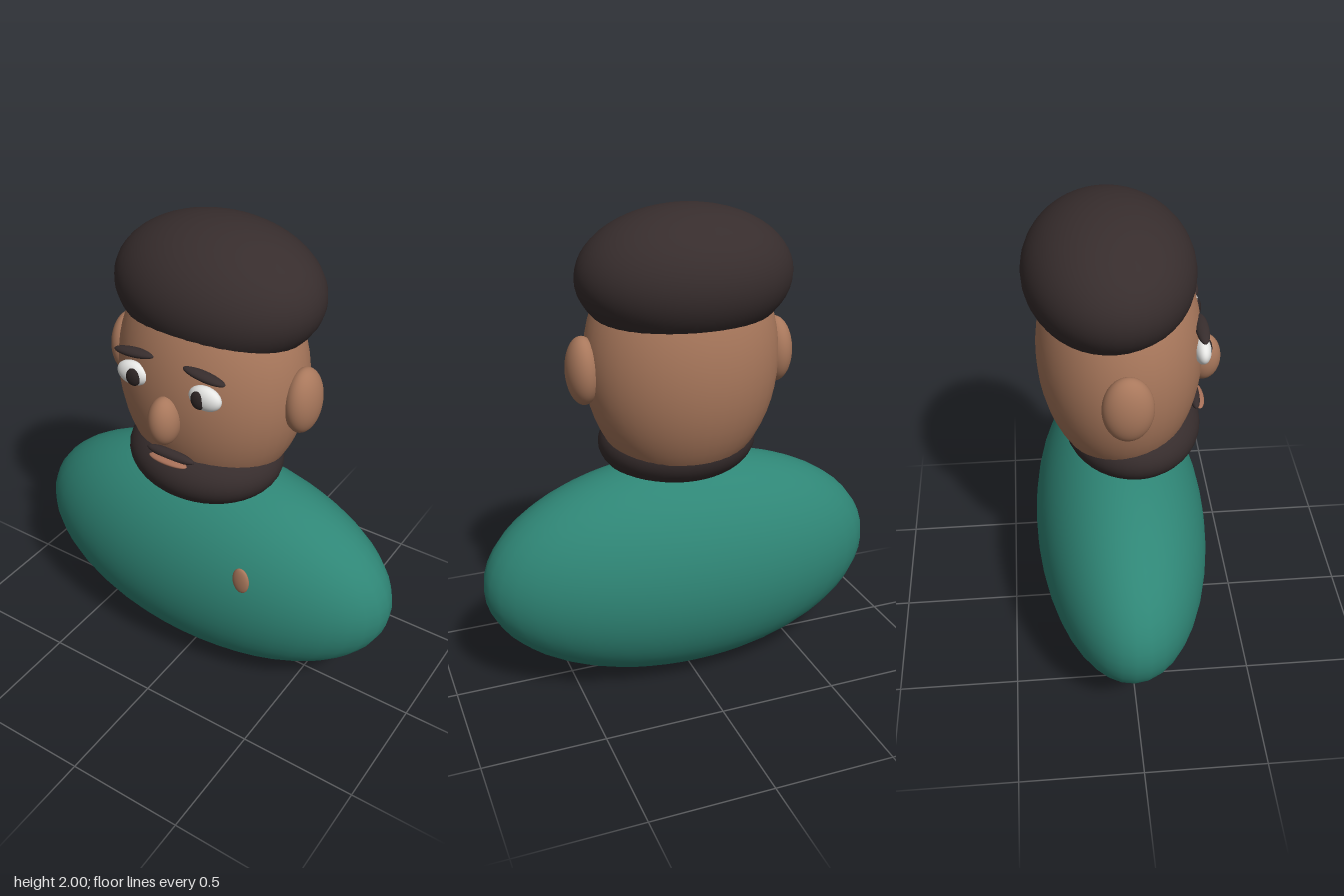
import * as THREE from 'three';

export function createModel() {
  const model = new THREE.Group();
  model.name = 'bust';

  const mat = (name, color) => {
    const m = new THREE.MeshStandardMaterial({ color });
    m.name = name;
    return m;
  };
  const skin = mat('skin', 0xa9785c);
  const hair = mat('hair', 0x372d2d);
  const cloth = mat('teal cloth', 0x2f8676);
  const white = mat('eye white', 0xe6e6e4);
  const dark = mat('pupil', 0x2c2424);
  const lip = mat('lip', 0xa87159);

  // Every part is a stretched ball
  const ball = new THREE.SphereGeometry(1, 40, 28);
  const blob = (name, material, position, radii, tilt = 0) => {
    const mesh = new THREE.Mesh(ball, material);
    mesh.name = name;
    mesh.position.set(...position);
    mesh.scale.set(...radii);
    mesh.rotation.z = tilt;
    model.add(mesh);
  };

  // Torso, head, hair and beard
  blob('torso', cloth, [0, 0.482, -0.017], [0.857, 0.478, 0.365]);
  blob('head', skin, [0, 1.38, -0.017], [0.4, 0.52, 0.328]);
  blob('hairCap', hair, [0, 1.73, -0.055], [0.435, 0.27, 0.331]);
  blob('beard', hair, [0, 1.02, 0.035], [0.333, 0.18, 0.28]);

  // Middle of the face
  blob('nose', skin, [0, 1.314, 0.32], [0.063, 0.102, 0.07]);
  blob('moustache', hair, [0, 1.137, 0.287], [0.11, 0.022, 0.024]);
  blob('mouth', lip, [0, 1.118, 0.305], [0.088, 0.013, 0.026]);

  // Paired parts: left is +x
  for (const [side, s] of [['left', 1], ['right', -1]]) {
    blob(side + 'Ear', skin, [s * 0.41, 1.373, -0.016], [0.068, 0.138, 0.098]);
    blob(side + 'Eye', white, [s * 0.165, 1.455, 0.288], [0.07, 0.05, 0.034]);
    blob(side + 'Pupil', dark, [s * 0.149, 1.452, 0.309], [0.033, 0.038, 0.019]);
    blob(side + 'Eyebrow', hair, [s * 0.158, 1.545, 0.285], [0.092, 0.018, 0.026], -s * 0.1);
  }

  // Small oval badge on the left of the chest
  blob('chestBadge', skin, [0.344, 0.661, 0.304], [0.038, 0.062, 0.015]);

  return model;
}
